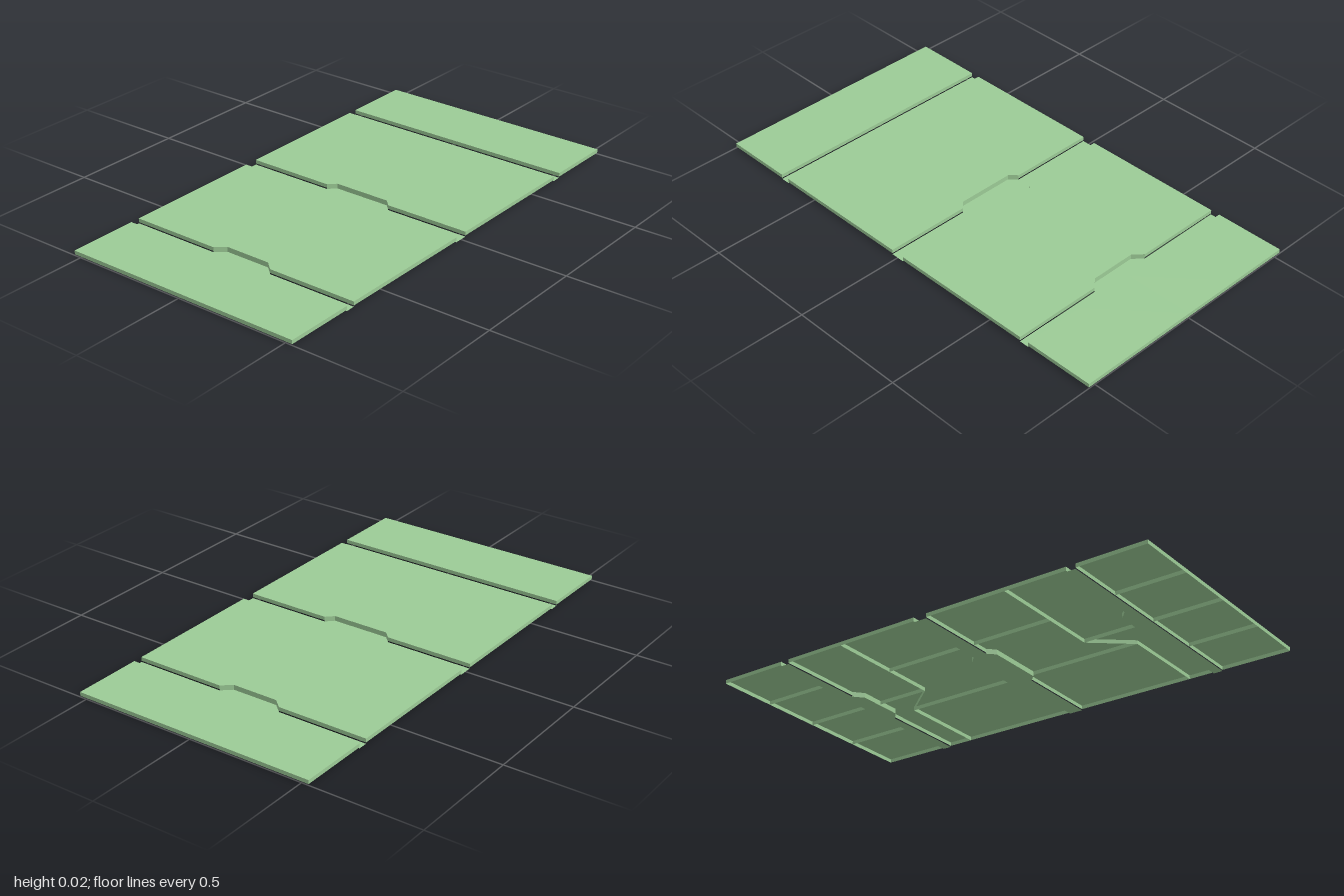
import * as THREE from 'three';
import { mergeGeometries } from 'three/addons/utils/BufferGeometryUtils.js';

const TOP = 0.021, RIM = 0.005, END = 0.53;

const material = new THREE.MeshStandardMaterial({ color: 0x9ccb96, side: THREE.DoubleSide });

// Flat sheet from [x, z] corners, facing up at height y
function sheet(points, y) {
  const shape = new THREE.Shape(points.map(([x, z]) => new THREE.Vector2(x, -z)));
  return new THREE.ShapeGeometry(shape).rotateX(-Math.PI / 2).translate(0, y, 0);
}

// Edges lining the channel pockets reach right down to the ground
function inPocket([x, z]) {
  const ax = Math.abs(x);
  return Math.abs(z) < 0.17 && (ax < 0.07 || (ax > 0.6 && ax < 0.67));
}

// Open-bottomed panel: top sheet with a thin rim folded down all round
function panel(name, corners, side) {
  let points = corners.map(([x, z]) => [x * side, z]);
  const outline = points.map(([x, z]) => new THREE.Vector2(x, -z));
  if (THREE.ShapeUtils.area(outline) < 0) points.reverse();
  const parts = [sheet(points, TOP)];
  points.forEach((a, i) => {
    const b = points[(i + 1) % points.length];
    const low = inPocket(a) && inPocket(b) ? 0 : RIM;
    const wall = new THREE.PlaneGeometry(Math.hypot(b[0] - a[0], b[1] - a[1]), TOP - low);
    wall.rotateY(-Math.atan2(b[1] - a[1], b[0] - a[0]));
    wall.translate((a[0] + b[0]) / 2, (TOP + low) / 2, (a[1] + b[1]) / 2);
    parts.push(wall);
  });
  const mesh = new THREE.Mesh(mergeGeometries(parts), material);
  mesh.name = name;
  return mesh;
}

function rect(x0, x1, z0, z1) {
  return [[x0, z0], [x1, z0], [x1, z1], [x0, z1]];
}

// Panels of the +x half
const panels = {
  backInnerPanel: rect(0.03, 0.39, -END, -0.23),
  backOuterPanel: [[0.39, -END], [0.66, -END], [0.66, -0.14], [0.625, -0.1], [0.625, 0], [0.39, 0]],
  centrePanel: [[0.03, -0.23], [0.39, -0.23], [0.39, 0], [0.55, 0.13], [0.06, 0.13],
    [0.06, -0.12], [0.03, -0.15]],
  frontOuterPanel: [[0.39, 0], [0.625, 0], [0.625, 0.1], [0.66, 0.14], [0.66, END], [0.55, END], [0.55, 0.13]],
  frontInnerPanel: [[0.06, 0.13], [0.55, 0.13], [0.55, END], [0.03, END], [0.03, 0.16]],
};

export function createModel() {
  const group = new THREE.Group();
  group.name = 'floorPanels';

  for (const side of [1, -1]) {
    const half = new THREE.Group();
    half.name = side > 0 ? 'leftHalf' : 'rightHalf';
    for (const [name, corners] of Object.entries(panels)) half.add(panel(name, corners, side));

    // Row of four tiles along the outer edge
    const rows = [-END, -0.267, 0, 0.265, END];
    for (let i = 0; i < 4; i++) half.add(panel('edgeTile', rect(0.7, 1, rows[i], rows[i + 1]), side));

    // Sunken side channel with its pocket
    const channel = [[0.7, -END], [0.7, END], [0.66, END], [0.66, 0.14], [0.625, 0.1],
      [0.625, -0.1], [0.66, -0.14], [0.66, -END]].map(([x, z]) => [x * side, z]);
    const floor = new THREE.Mesh(sheet(channel, 0), material);
    floor.name = 'sideChannelFloor';
    half.add(floor);
    group.add(half);
  }

  // Sunken centre channel, wider in the middle
  const edge = [[0.03, -END], [0.03, -0.15], [0.06, -0.12], [0.06, 0.13], [0.03, 0.16], [0.03, END]];
  const mirrored = edge.map(([x, z]) => [-x, z]).reverse();
  const floor = new THREE.Mesh(sheet([...edge, ...mirrored], 0), material);
  floor.name = 'centreChannelFloor';
  group.add(floor);
  return group;
}
